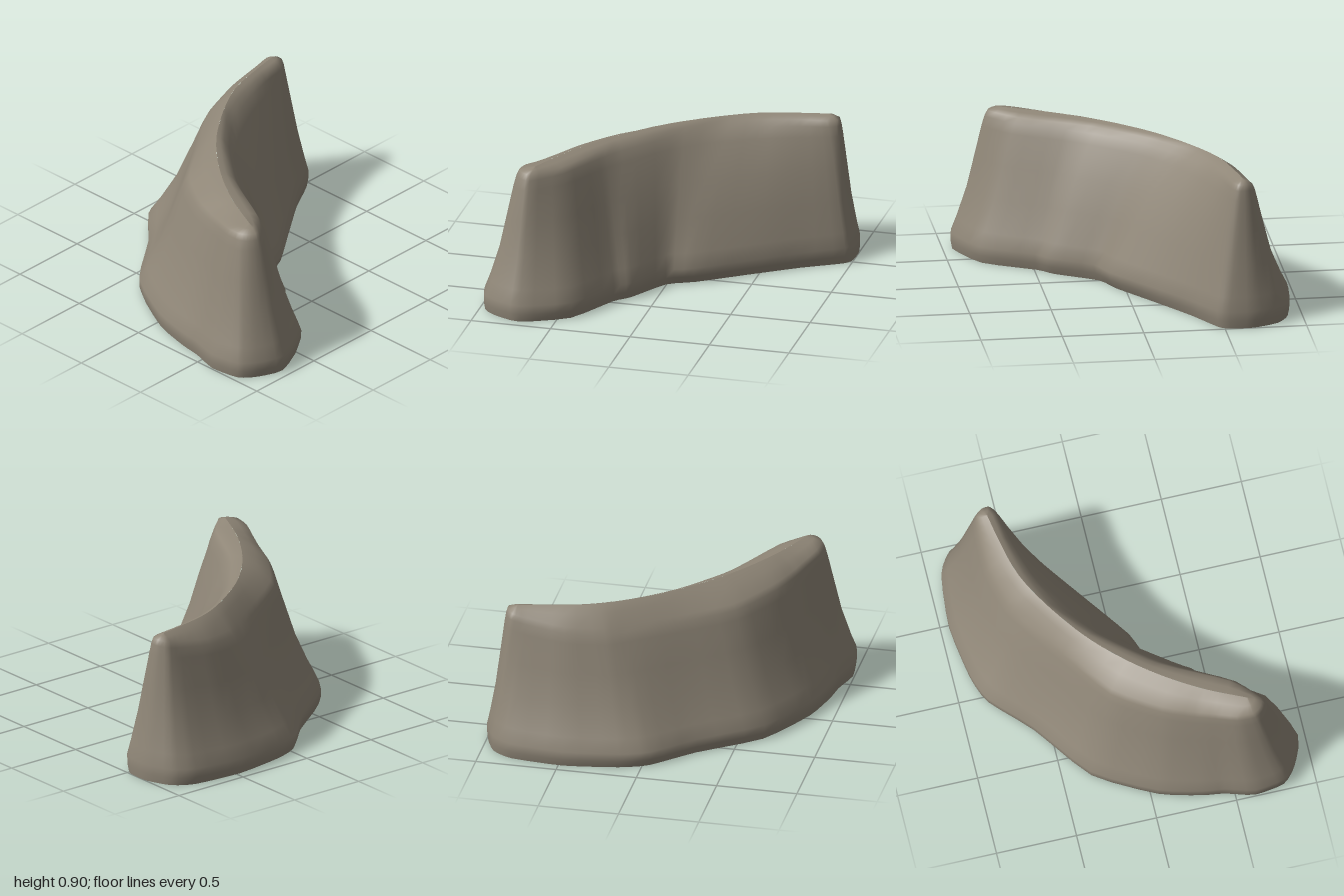
import * as THREE from 'three';

// Outline control points: base x, base z, shoulder x, shoulder z, shoulder height, outward bulge
const OUTLINE = [
  [-0.71, 0.95, -0.70, 0.72, 0.88, 0], [-0.88, 0.89, -0.76, 0.70, 0.88, 0],
  [-0.97, 0.81, -0.79, 0.65, 0.88, 0], [-1.00, 0.62, -0.78, 0.55, 0.87, 0],
  [-0.95, 0.44, -0.73, 0.43, 0.85, 0], [-0.93, 0.30, -0.68, 0.31, 0.83, 0],
  [-0.86, 0.04, -0.60, 0.13, 0.82, 0], [-0.65, -0.33, -0.41, -0.14, 0.80, 0],
  [-0.29, -0.60, -0.09, -0.36, 0.79, 0], [-0.05, -0.83, 0.17, -0.53, 0.79, 0],
  [0.13, -0.90, 0.29, -0.61, 0.79, 0], [0.47, -0.95, 0.52, -0.68, 0.81, 0],
  [0.80, -0.92, 0.75, -0.69, 0.85, 0], [0.93, -0.84, 0.84, -0.69, 0.87, 0],
  [1.00, -0.68, 0.88, -0.65, 0.88, 0], [1.00, -0.53, 0.88, -0.60, 0.88, 0],
  [0.96, -0.46, 0.82, -0.57, 0.88, 0.1], [0.72, -0.32, 0.66, -0.55, 0.88, 0.16],
  [0.43, -0.12, 0.42, -0.49, 0.88, 0.18], [0.16, 0.07, 0.18, -0.38, 0.88, 0.18],
  [0.00, 0.15, -0.06, -0.18, 0.88, 0.18], [-0.15, 0.40, -0.30, 0.10, 0.88, 0.15],
  [-0.24, 0.49, -0.40, 0.27, 0.88, 0.12], [-0.42, 0.81, -0.55, 0.56, 0.88, 0.05],
];

// Ridge line along the crest: x, z
const RIDGE = [
  [-0.69, 0.64], [-0.56, 0.37], [-0.36, 0.07], [-0.11, -0.20],
  [0.19, -0.42], [0.42, -0.54], [0.66, -0.60], [0.82, -0.63],
];
const RIDGE_HEIGHT = 0.905;

// Wall profile: share of the height, and share of the lean from base to shoulder
const PROFILE = [
  [0, 0.04], [0.055, 0], [0.12, 0], [0.22, 0.15], [0.44, 0.43],
  [0.67, 0.64], [0.89, 0.84], [0.96, 0.92], [1, 1],
];
const SIDES = 72;

// Closed loop through the outline; y carries the given extra column
function ring(ix, iz, extra) {
  const curve = new THREE.CatmullRomCurve3(
    OUTLINE.map((p) => new THREE.Vector3(p[ix], p[extra], p[iz])), true, 'catmullrom', 0.3);
  return Array.from({ length: SIDES }, (_, i) => curve.getPoint(i / SIDES));
}

// Underside triangles, all facing down
function undersideIndices(points) {
  const flat = points.map((p) => new THREE.Vector2(p.x, p.z));
  return THREE.ShapeUtils.triangulateShape(flat, []).flatMap(([a, b, c]) => {
    const u = flat[b].clone().sub(flat[a]);
    const v = flat[c].clone().sub(flat[a]);
    return u.cross(v) > 0 ? [a, b, c] : [a, c, b];
  });
}

function addPart(group, name, points, index, material) {
  const geometry = new THREE.BufferGeometry().setFromPoints(points);
  geometry.setIndex(index);
  geometry.computeVertexNormals();
  const mesh = new THREE.Mesh(geometry, material);
  mesh.name = name;
  group.add(mesh);
}

export function createModel() {
  const group = new THREE.Group();
  group.name = 'curvedRockWall';
  const stone = new THREE.MeshStandardMaterial({ color: 0x8f8677 });
  stone.name = 'warm grey stone';

  // Leaning sides, steeper on the hollow side
  const base = ring(0, 1, 5);
  const shoulder = ring(2, 3, 4);
  const layers = PROFILE.map(([rise, lean]) => base.map((b, i) => {
    const s = shoulder[i];
    const p = b.clone().lerp(s, lean - b.y * Math.sin(rise * Math.PI));
    return p.setY(s.y * rise);
  }));

  // Worn crest: the shoulders close up onto the nearest point of the ridge
  const ridge = new THREE.CatmullRomCurve3(
    RIDGE.map(([x, z]) => new THREE.Vector3(x, RIDGE_HEIGHT, z))).getPoints(70);
  const crest = shoulder.map((s) => ridge.reduce(
    (best, p) => (p.distanceToSquared(s) < best.distanceToSquared(s) ? p : best)));
  layers.push(
    shoulder.map((s, i) => s.clone().lerp(crest[i], 0.5).setY(s.y + (RIDGE_HEIGHT - s.y) * 0.65)),
    crest,
  );

  const index = [];
  for (let j = 0; j < layers.length - 1; j++) {
    for (let i = 0; i < SIDES; i++) {
      const n = (i + 1) % SIDES;
      const a = j * SIDES + i, b = j * SIDES + n;
      const c = a + SIDES, d = b + SIDES;
      index.push(a, c, b, b, c, d);
    }
  }
  addPart(group, 'rockWall', layers.flat(), index, stone);
  addPart(group, 'underside', layers[0], undersideIndices(layers[0]), stone);
  return group;
}
